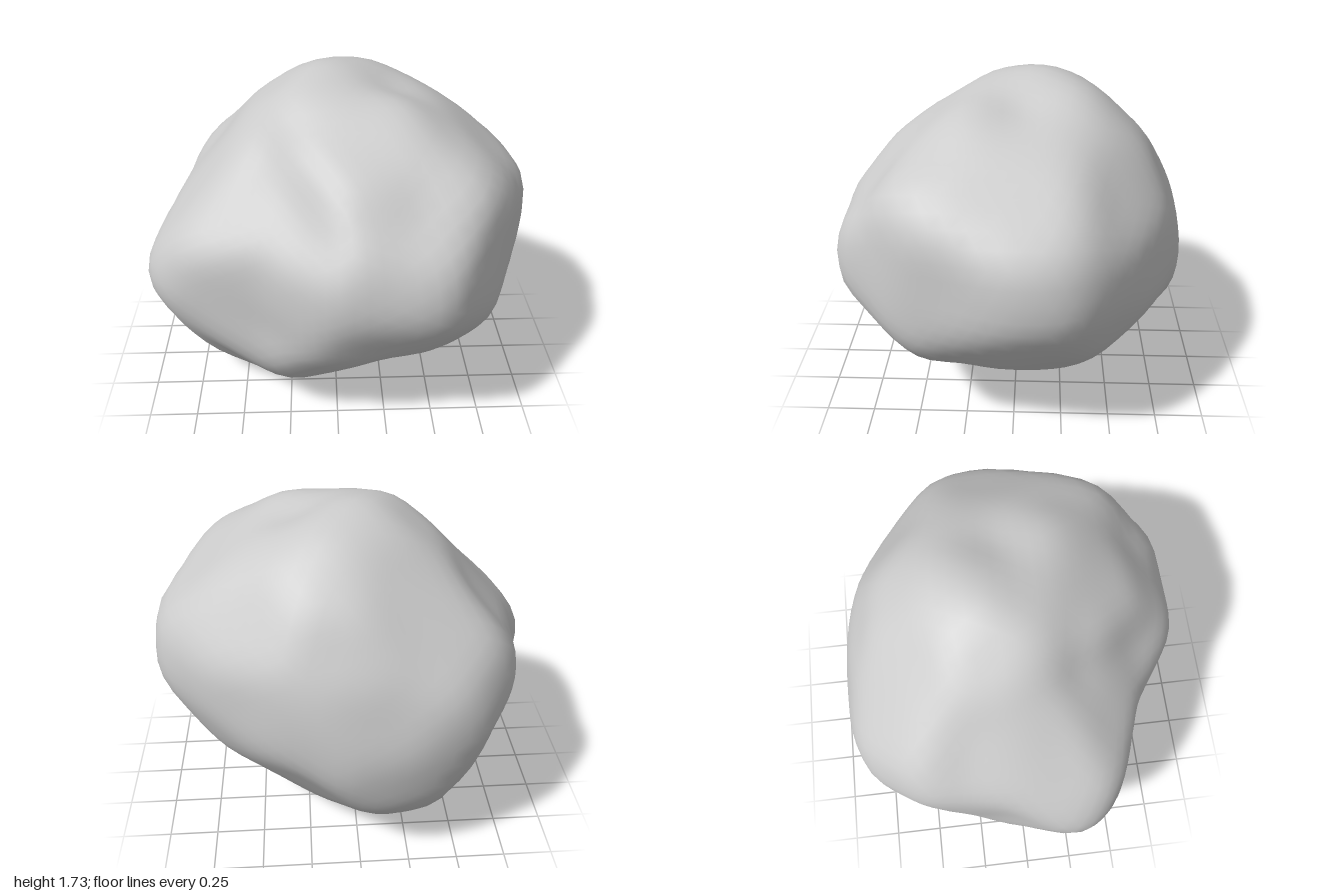
import * as THREE from 'three';
import { mergeVertices } from 'three/addons/utils/BufferGeometryUtils.js';

const V = (x, y, z) => new THREE.Vector3(x, y, z);
const azimuth = THREE.MathUtils.degToRad(36), tilt = THREE.MathUtils.degToRad(25);
const c = Math.cos(azimuth), s = Math.sin(azimuth);
const C = Math.cos(tilt), sx = Math.sin(tilt) * s, sz = Math.sin(tilt) * c;

// Each profile is a closed outline in the plane spanned by two axes through the rock's centre.
const profile = (right, up, points) => ({ right, up, points });

const frontal = profile(V(1, 0, 0), V(0, 1, 0), [
  -1, -.115, -.88, .105, -.58, .455, -.39, .685, -.1, .875, .23, .845, .56, .645, .97, .325,
  1, .005, .8, -.275, .6, -.505, .32, -.705, .03, -.845, -.41, -.87, -.73, -.715]);
const lateral = profile(V(0, 0, -1), V(0, 1, 0), [
  -.87, .005, -.83, .265, -.55, .595, -.4, .695, -.22, .785, 0, .835, .11, .875, .36, .805,
  .63, .555, .79, .255, .87, -.115, .82, -.425, .65, -.655, .27, -.825, -.05, -.87,
  -.23, -.845, -.5, -.635, -.72, -.335]);
const horizontal = profile(V(1, 0, 0), V(0, 0, -1), [
  -1, -.28, -.87, -.45, -.37, -.61, -.02, -.85, .26, -.87, .51, -.85, .76, -.55, 1, 0,
  .97, .3, .7, .54, .4, .74, .07, .87, -.25, .86, -.59, .75, -.76, .5, -.82, .07]);
const slantFront = profile(V(c, 0, -s), V(-sx, C, -sz), [
  0, .856, .294, .834, .56, .668, .914, .186, .964, -.102, .837, -.302, .526, -.568,
  .172, -.745, -.15, -.806, -.249, -.795, -.493, -.673, -.571, -.607, -.814, -.307,
  -.958, -.047, -.964, .036, -.886, .208, -.576, .463, -.305, .717]);
const slantBack = profile(V(-c, 0, s), V(sx, C, sz), [
  -.108, .867, .368, .684, .457, .501, .884, .097, .967, -.23, .645, -.778, .186, -.906,
  -.125, -.878, -.385, -.762, -.784, -.285, -.961, .163, -.911, .452, -.335, .795]);
const slantUnder = profile(V(-c, 0, -s), V(sx, C, -sz), [
  .028, .889, .139, .873, .266, .812, .842, .324, .914, .075, .792, -.341, .72, -.623,
  .62, -.773, .476, -.884, -.044, -.845, -.554, -.512, -.748, -.407, -.942, -.175,
  -.909, .407, -.748, .59, -.316, .812]);
const profiles = [frontal, lateral, horizontal, slantFront, slantBack, slantUnder];

// Shallow hollows beside the peak: direction, depth, angular width
const hollows = [
  { dir: V(.24, .74, -.03).normalize(), depth: .06, width: .2 },
  { dir: V(-.28, .66, .25).normalize(), depth: .03, width: .2 },
];

// Distance along a direction at which it leaves one profile
function reach(points, qx, qy) {
  const n = points.length;
  let best = 0;
  for (let i = 0; i < n; i += 2) {
    const ax = points[i], ay = points[i + 1];
    const ex = points[(i + 2) % n] - ax, ey = points[(i + 3) % n] - ay;
    const den = qx * ey - qy * ex;
    if (Math.abs(den) < 1e-9) continue;
    const t = (ax * ey - ay * ex) / den, u = (ax * qy - ay * qx) / den;
    if (t > 0 && u >= -1e-6 && u <= 1 + 1e-6) best = Math.max(best, t);
  }
  return best || Infinity;
}

// Smallest reach of all profiles, rounded down a little away from every profile plane
function carve(dir) {
  let r = Infinity, nearest = 0;
  for (const { right, up, points } of profiles) {
    const qx = dir.dot(right), qy = dir.dot(up);
    r = Math.min(r, reach(points, qx, qy));
    nearest = Math.max(nearest, Math.hypot(qx, qy));
  }
  return r * nearest ** 0.6;
}

// Carved radius averaged over a small cone, so the creases become rounded
function radius(dir) {
  const side = V(0, 1, 0).cross(dir);
  if (side.lengthSq() < 1e-4) side.set(1, 0, 0);
  side.normalize();
  const other = dir.clone().cross(side);
  let sum = carve(dir) * 2;
  for (let k = 0; k < 16; k++) {
    const a = (k * Math.PI) / 8, spread = k % 2 ? .13 : .065;
    sum += carve(dir.clone().addScaledVector(side, spread * Math.cos(a))
      .addScaledVector(other, spread * Math.sin(a)).normalize());
  }
  let r = (sum / 18) * 1.01;
  for (const h of hollows) r -= h.depth * Math.exp(-((dir.angleTo(h.dir) / h.width) ** 2));
  return r;
}

export function createModel() {
  // Rock: a sphere whose vertices are moved to the carved radius
  let geometry = new THREE.IcosahedronGeometry(1, 13);
  geometry.deleteAttribute('normal');
  geometry.deleteAttribute('uv');
  geometry = mergeVertices(geometry, 1e-4);
  const pos = geometry.attributes.position, p = V(0, 0, 0);
  for (let i = 0; i < pos.count; i++) {
    p.fromBufferAttribute(pos, i).normalize();
    p.multiplyScalar(radius(p.clone()));
    pos.setXYZ(i, p.x, p.y, p.z);
  }

  // Stand it on the ground
  geometry.computeBoundingBox();
  geometry.translate(0, -geometry.boundingBox.min.y, 0);
  geometry.computeVertexNormals();

  const rock = new THREE.Mesh(geometry, new THREE.MeshStandardMaterial({ color: 0xcccccc }));
  rock.name = 'rock';
  const group = new THREE.Group();
  group.name = 'boulder';
  group.add(rock);
  return group;
}
